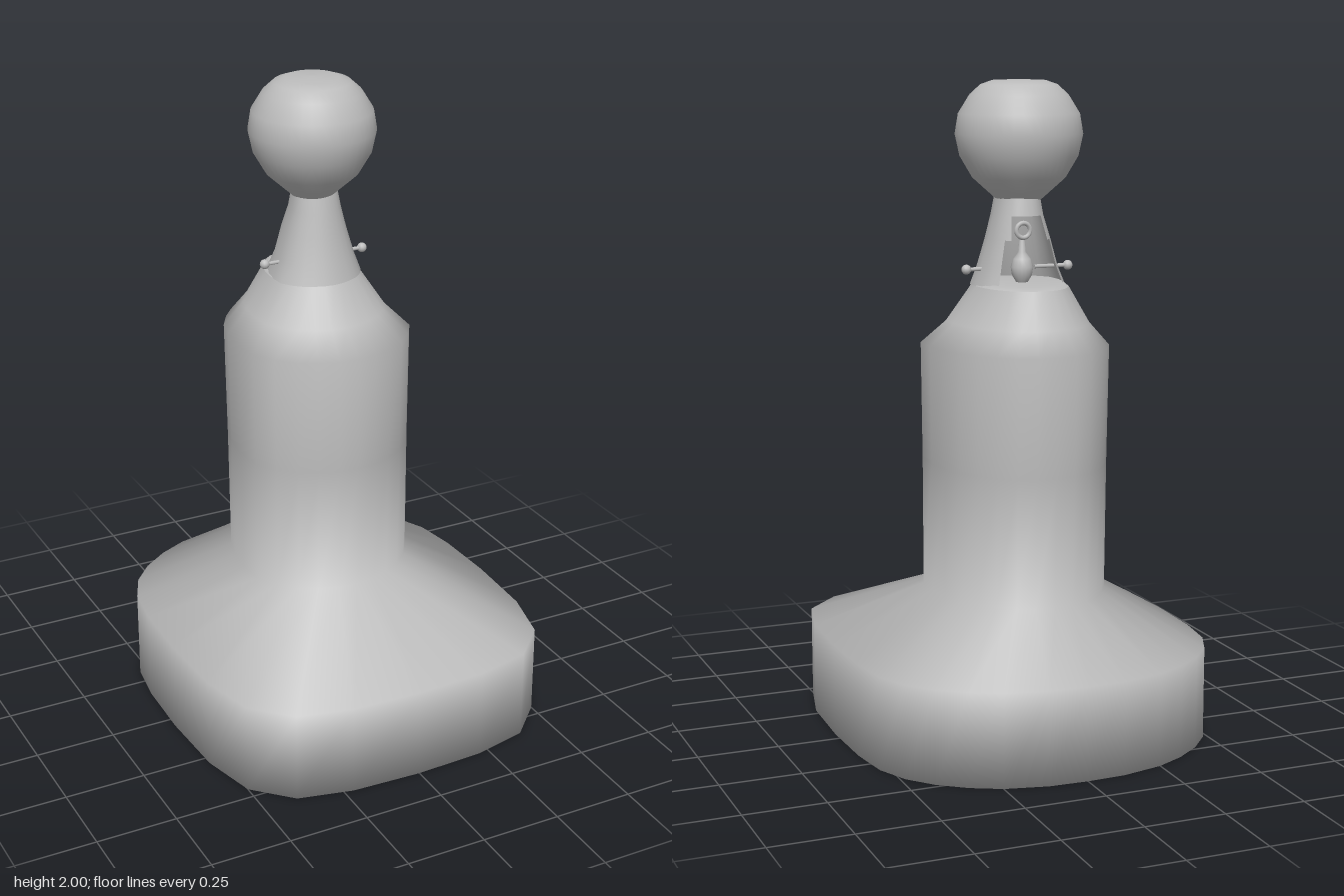
import * as THREE from 'three';

const grey = new THREE.MeshStandardMaterial({ color: 0xbcbcbc, side: THREE.DoubleSide });
grey.name = 'plain grey';

// Half outlines [x, z], running from the back round to the front
const baseHalf = [[0, -.625], [.12, -.62], [.25, -.59], [.34, -.545], [.42, -.485], [.485, -.41], [.53, -.31],
  [.55, -.17], [.556, .04], [.545, .28], [.5, .46], [.39, .57], [.22, .61], [0, .62]];
const columnHalf = [[0, -.4], [.06, -.395], [.115, -.375], [.165, -.335], [.205, -.285], [.24, -.225], [.26, -.15],
  [.27, -.06], [.265, .035], [.225, .1], [.175, .15], [.12, .18], [.06, .203], [0, .21]];

// Full horizontal ring at height y
function ring(half, y) {
  const right = half.slice(1, -1).reverse().map(([x, z]) => [-x, z]);
  return [...half, ...right].map(([x, z]) => [x, y, z]);
}

// Column outline refitted to half width w, back zb and front zf
function section(y, w, zb, zf) {
  return ring(columnHalf.map(([x, z]) => [x * w / .27, zb + (z + .4) / .61 * (zf - zb)]), y);
}

// Skin stacked rings; gaps[i] leaves that many panels each side open at the back
function loft(rings, { gaps = [], bottom = false, top = false } = {}) {
  const n = rings[0].length, pos = rings.flat(2), index = [];
  for (let i = 0; i < rings.length - 1; i++) {
    const gap = gaps[i] || 0;
    for (let j = gap; j < n - gap; j++) {
      const a = i * n + j, b = i * n + (j + 1) % n;
      index.push(a, a + n, b, b, a + n, b + n);
    }
  }
  const cap = (level, up) => {
    const r = rings[level], centre = pos.length / 3;
    pos.push(0, r[0][1], (r[0][2] + r[n / 2][2]) / 2);
    for (let j = 0; j < n; j++) {
      const a = level * n + j, b = level * n + (j + 1) % n;
      index.push(centre, up ? b : a, up ? a : b);
    }
  };
  if (bottom) cap(0, false);
  if (top) cap(rings.length - 1, true);
  const g = new THREE.BufferGeometry();
  g.setAttribute('position', new THREE.Float32BufferAttribute(pos, 3));
  g.setIndex(index);
  g.computeVertexNormals();
  return g;
}

export function createModel() {
  const model = new THREE.Group();
  const add = (name, geometry, x = 0, y = 0, z = 0) => {
    const mesh = new THREE.Mesh(geometry, grey);
    mesh.name = name;
    mesh.position.set(x, y, z);
    model.add(mesh);
    return mesh;
  };
  const lathe = (pts, sides) => new THREE.LatheGeometry(pts.map(p => new THREE.Vector2(...p)), sides);

  // Wide foot flowing into the column and its sloping shoulder
  add('body', loft([
    ring(baseHalf, 0), ring(baseHalf, .285),
    section(.455, .267, -.38, .21), section(.85, .268, -.39, .212), section(1.21, .272, -.4, .215),
    section(1.28, .205, -.345, .13), section(1.39, .138, -.285, .05),
  ], { bottom: true }));

  // Ledge closing the shoulder inside the niche
  add('ledge', loft([section(1.39, .138, -.285, .05), section(1.4, .128, -.26, .045)], { top: true }));

  // Tapering neck, open at the back
  add('neck', loft([
    section(1.39, .138, -.25, .05), section(1.45, .116, -.22, .03), section(1.53, .094, -.2, .01),
    section(1.6, .076, -.17, -.005), section(1.66, .066, -.155, -.02),
  ], { gaps: [4, 4, 3] }));

  // Round head with a slightly flattened top
  add('head', lathe([[.062, 1.64], [.09, 1.665], [.14, 1.71], [.178, 1.775], [.192, 1.84], [.182, 1.9],
    [.148, 1.955], [.115, 1.985], [.08, 1.997], [0, 2]], 40), -.005, 0, -.083);

  // Small bulb and ring inside the niche
  add('nicheBulb', lathe([[.018, 1.4], [.03, 1.42], [.034, 1.445], [.026, 1.47], [.012, 1.49], [.008, 1.53], [0, 1.535]], 16),
    0, 0, -.12);
  add('nicheRing', new THREE.TorusGeometry(.022, .007, 8, 20), 0, 1.555, -.13);

  // Side pins with ball ends
  for (const s of [-1, 1]) {
    add('pin', new THREE.CylinderGeometry(.006, .006, .11, 8), s * .11, 1.44, -.085).rotation.z = Math.PI / 2;
    add('pinBall', new THREE.SphereGeometry(.015, 12, 8), s * .165, 1.44, -.085);
  }
  return model;
}
